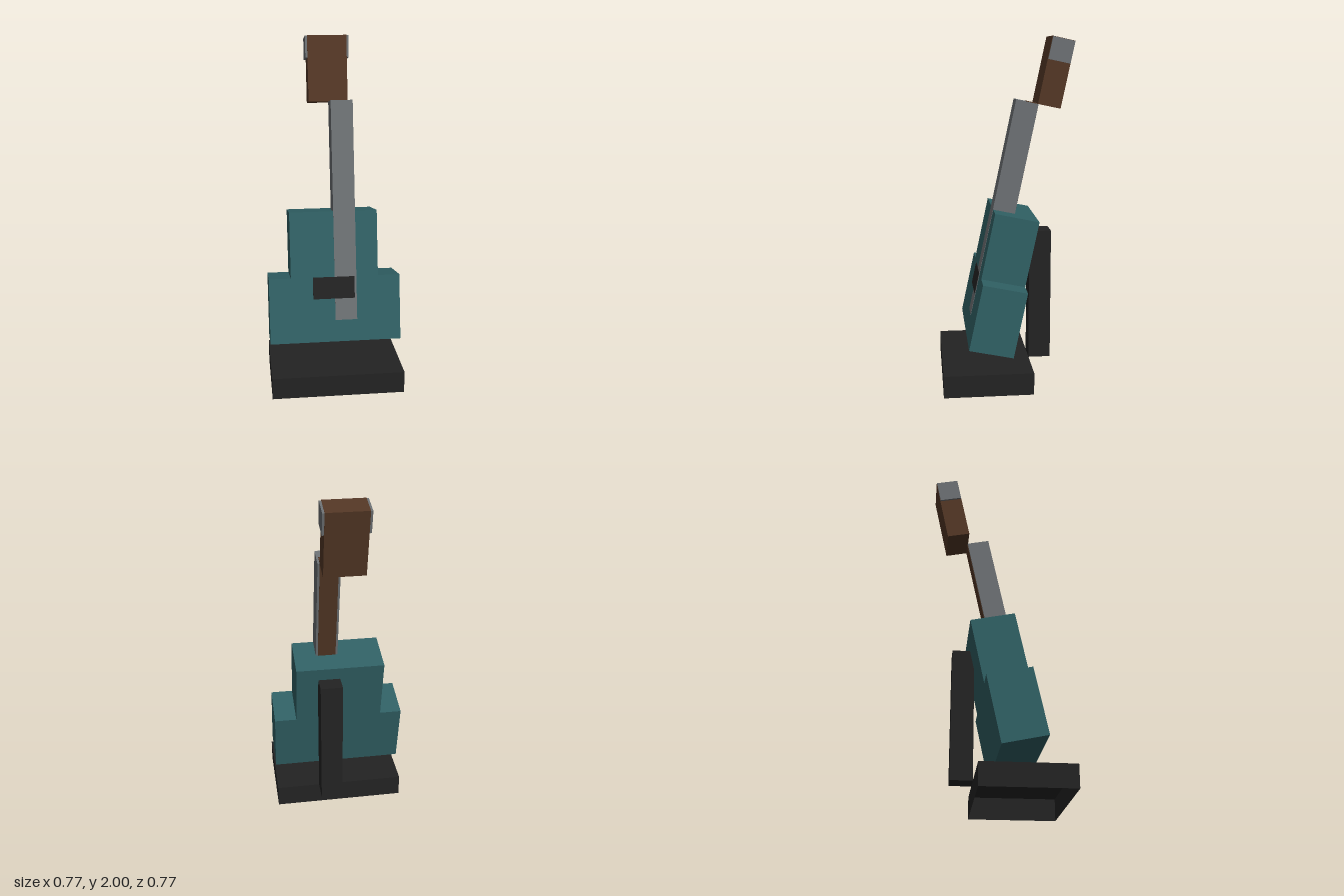
import * as THREE from 'three';

const material = (name, color) => {
  const m = new THREE.MeshStandardMaterial({ color });
  m.name = name;
  return m;
};

// Box given by its minimum and maximum corners
function block(name, mat, [x0, y0, z0], [x1, y1, z1]) {
  const geo = new THREE.BoxGeometry(x1 - x0, y1 - y0, z1 - z0);
  geo.translate((x0 + x1) / 2, (y0 + y1) / 2, (z0 + z1) / 2);
  const mesh = new THREE.Mesh(geo, mat);
  mesh.name = name;
  return mesh;
}

export function createModel() {
  const teal = material('teal body', 0x306064);
  const black = material('black', 0x232323);
  const grey = material('grey metal', 0x6c7073);
  const brown = material('brown wood', 0x533725);
  black.side = THREE.DoubleSide;

  const U = 0.128;  // block unit
  const E = 0.002;  // small lift that keeps flush faces apart
  const I = 0.012;  // inset of the wooden cores

  // Guitar, leaning back; local origin is the lower front edge of the body
  const guitar = new THREE.Group();
  guitar.name = 'guitar';
  guitar.position.set(0, 0.275, 0.24);
  guitar.rotation.x = -THREE.MathUtils.degToRad(12);
  guitar.add(
    block('lowerBody', teal, [-3 * U, 0, -2 * U], [3 * U, 3 * U, 0]),
    block('upperBody', teal, [-2 * U, 3 * U, -2 * U], [2 * U, 6 * U, 0]),
    block('strings', grey, [0, U, -U], [U, 11 * U, E]),
    block('neck', brown, [I, 6 * U, -U - E], [U - I, 11 * U + E, -U / 2]),
    block('bridge', black, [-U, 2 * U, -E], [U - I, 3 * U, 2 * E]),
    block('headstock', brown, [-U + I, 11 * U, -2 * U - E], [U - I, 14 * U + E, -U + E]),
    block('tuningPegs', grey, [-U, 13 * U, -2 * U], [U, 14 * U, -U])
  );

  // Stand: hollow base open underneath, and an upright post behind it
  const stand = new THREE.Group();
  stand.name = 'stand';
  const base = block('standBase', black, [-3 * U, 0, -U], [3 * U, U, 3 * U]);
  const faces = Array.from(base.geometry.index.array);
  faces.splice(18, 6); // drop the bottom face
  base.geometry.setIndex(faces);
  base.geometry.clearGroups();
  stand.add(base, block('standPost', black, [0, U, -2 * U], [U, 7 * U, -U]));

  const model = new THREE.Group();
  model.name = 'guitarOnStand';
  model.add(guitar, stand);
  return model;
}
